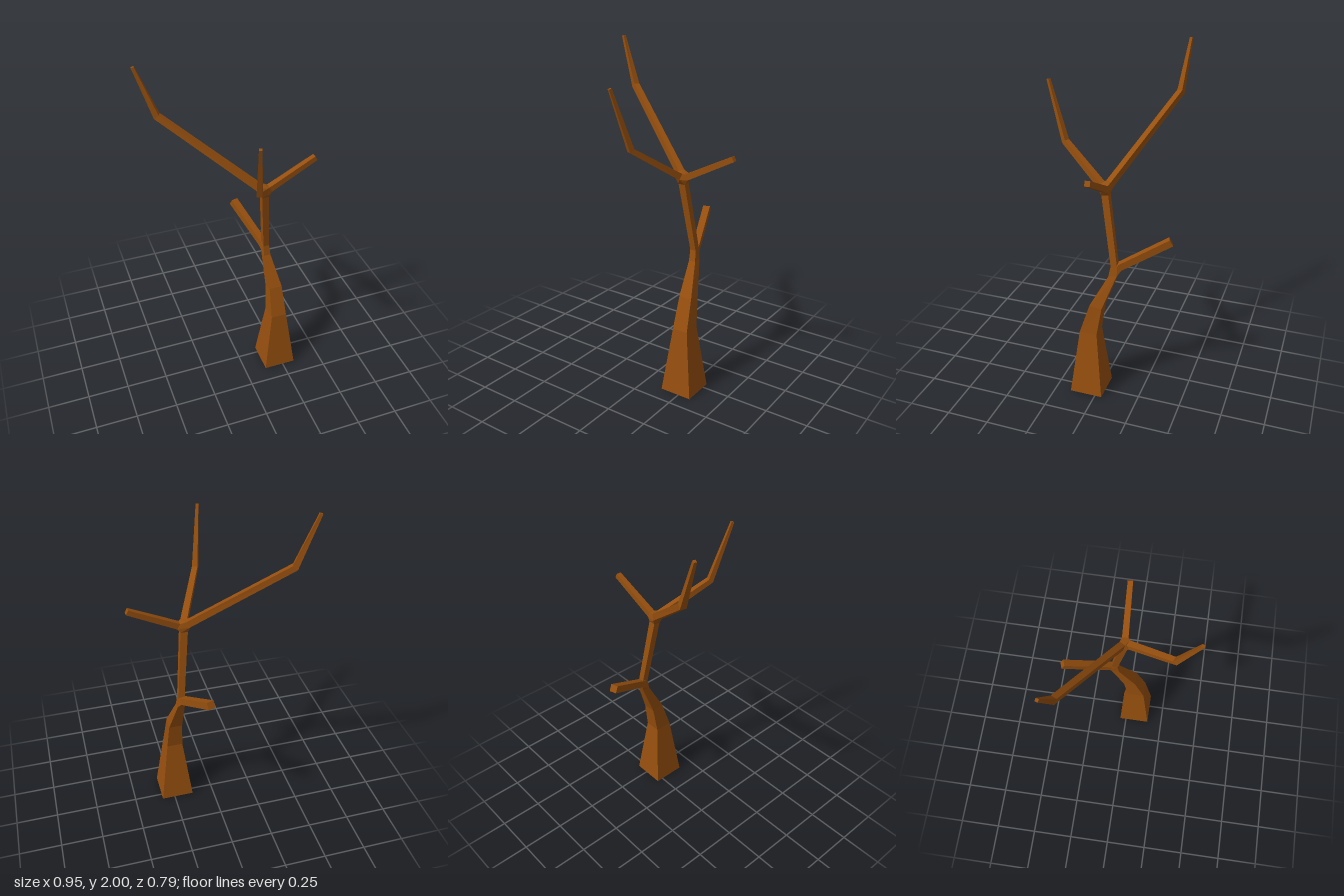
import * as THREE from 'three';
import { ConvexGeometry } from 'three/addons/geometries/ConvexGeometry.js';

const V = (x, y, z) => new THREE.Vector3(x, y, z);
const SIGNS = [[-1, -1], [1, -1], [1, 1], [-1, 1]];

// Four corners round a centre, spanned by two half-axes
const ring = (c, s, u) => SIGNS.map(([a, b]) => c.clone().addScaledVector(s, a).addScaledVector(u, b));

// Square rings along a path of [x, y, z, width], mitred at the bends
function branchRings(path) {
  const pts = path.map(([x, y, z]) => V(x, y, z));
  return pts.map((p, i) => {
    const t = V(0, 0, 0);
    if (i > 0) t.add(p.clone().sub(pts[i - 1]).normalize());
    if (i < pts.length - 1) t.add(pts[i + 1].clone().sub(p).normalize());
    t.normalize();
    const s = V(0, 1, 0).cross(t).normalize();
    const u = t.clone().cross(s);
    const h = path[i][3] / 2;
    return ring(p, s.multiplyScalar(h), u.multiplyScalar(h));
  });
}

// Skin consecutive rings and cap both ends
function loft(rings) {
  const pos = [];
  const quad = (a, b, c, d) => [a, b, c, a, c, d].forEach((p) => pos.push(p.x, p.y, p.z));
  for (let k = 0; k < rings.length - 1; k++) {
    const a = rings[k], b = rings[k + 1];
    for (let i = 0; i < 4; i++) {
      const j = (i + 1) % 4;
      quad(a[i], a[j], b[j], b[i]);
    }
  }
  quad(...[...rings[0]].reverse());
  quad(...rings[rings.length - 1]);
  const g = new THREE.BufferGeometry();
  g.setAttribute('position', new THREE.Float32BufferAttribute(pos, 3));
  g.computeVertexNormals();
  return g;
}

export function createModel() {
  const model = new THREE.Group();
  model.name = 'bareTree';
  const bark = new THREE.MeshStandardMaterial({ color: 0x964f0e, flatShading: true });
  const add = (name, geometry) => {
    const mesh = new THREE.Mesh(geometry, bark);
    mesh.name = name;
    model.add(mesh);
  };

  // Trunk: x, y, z, width in x, width in z, slope of the section towards the front
  const trunk = [
    [0.23, 0, 0.057, 0.197, 0.195, 0],
    [0.228, 0.4, 0.057, 0.095, 0.105, 0],
    [0.224, 0.58, 0.014, 0.08, 0.072, 0.2],
    [0.203, 0.78, -0.076, 0.042, 0.05, -0.2],
    [0.2, 0.84, -0.082, 0.036, 0.038, 0],
    [0.16, 1.25, -0.017, 0.042, 0.04, -0.15],
  ].map(([x, y, z, wx, wz, k]) => ring(V(x, y, z), V(wx / 2, 0, 0), V(0, -k * wz / 2, -wz / 2)));
  add('trunk', loft(trunk));

  // Branches: x, y, z, width along each path
  const branches = {
    longBranch: [[0.13, 1.304, -0.03, 0.038], [-0.365, 1.712, -0.285, 0.034], [-0.468, 1.997, -0.308, 0.016]],
    frontBranch: [[0.148, 1.294, 0.012, 0.038], [0.015, 1.475, 0.275, 0.032], [-0.03, 1.81, 0.386, 0.016]],
    sideBranch: [[0.19, 1.292, -0.016, 0.036], [0.468, 1.432, -0.028, 0.03]],
    lowBranch: [[0.192, 0.835, -0.108, 0.04], [0.1, 0.99, -0.377, 0.042]],
  };
  const starts = {};
  for (const [name, path] of Object.entries(branches)) {
    const rings = branchRings(path);
    starts[name] = rings[0];
    add(name, loft(rings));
  }

  // Knots joining the branches to the trunk
  add('crownKnot', new ConvexGeometry([...trunk[5], ...starts.longBranch, ...starts.frontBranch, ...starts.sideBranch]));
  add('lowerKnot', new ConvexGeometry([...trunk[3], ...trunk[4], ...starts.lowBranch]));
  return model;
}
